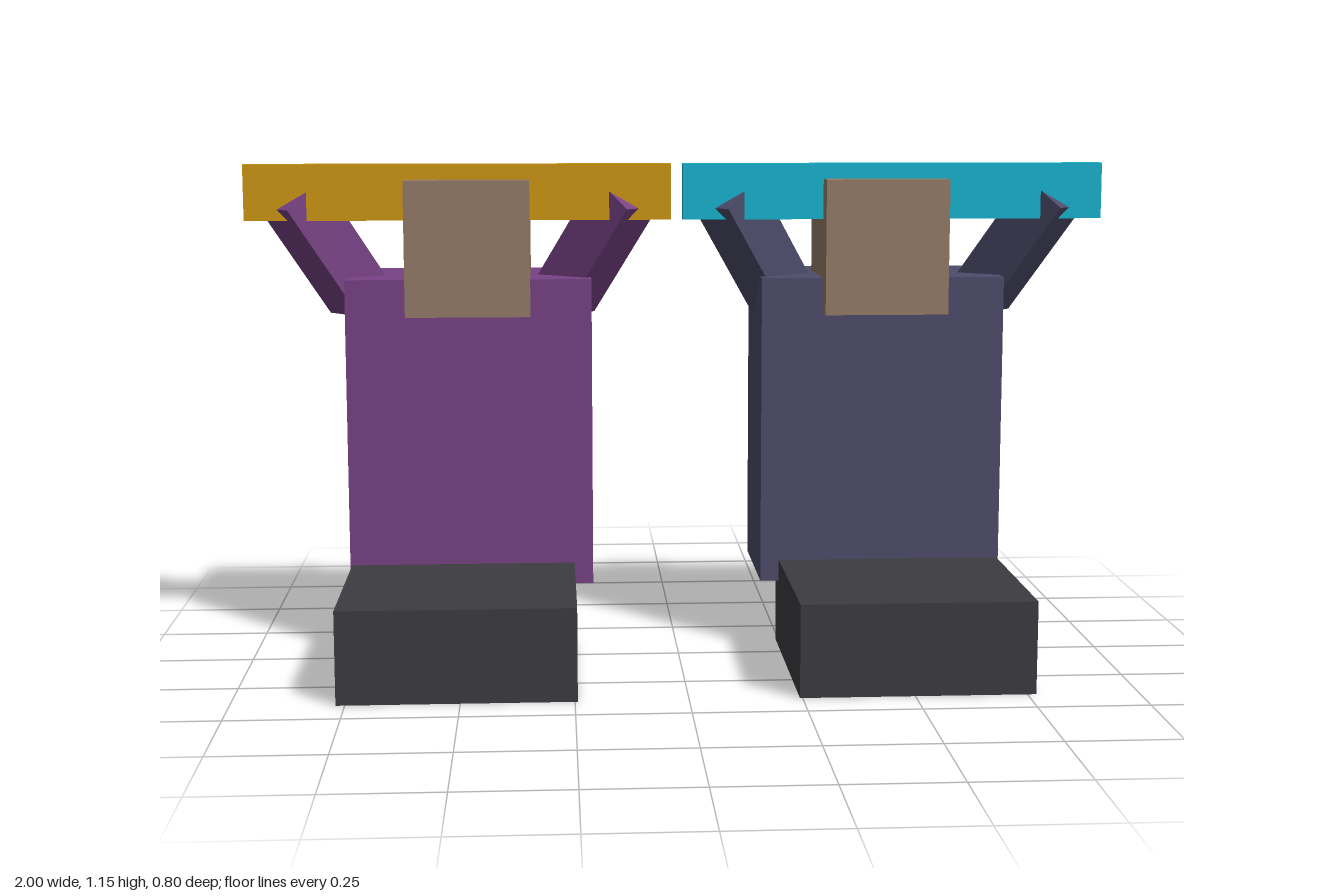
import * as THREE from 'three';

const mat = (name, color) => {
  const m = new THREE.MeshStandardMaterial({ color });
  m.name = name;
  return m;
};

// Box from its extents
function box(name, material, [x0, x1], [y0, y1], [z0, z1]) {
  const mesh = new THREE.Mesh(new THREE.BoxGeometry(x1 - x0, y1 - y0, z1 - z0), material);
  mesh.position.set((x0 + x1) / 2, (y0 + y1) / 2, (z0 + z1) / 2);
  mesh.name = name;
  return mesh;
}

// One seated figure holding a bar; shift moves torso and head sideways
function createFigure(name, shift, clothes, bar, skin, trousers) {
  const figure = new THREE.Group();
  figure.name = name;
  const span = (half, c = 0) => [c - half, c + half];
  figure.add(
    box('legs', trousers, span(0.263), [0, 0.21], [-0.122, 0.4]),
    box('torso', clothes, span(0.287, shift), [0.16, 0.886], [-0.4, -0.058]),
    box('head', skin, span(0.144, shift), [0.804, 1.118], [-0.281, 0.005]),
    box('bar', bar, span(0.493), [1.024, 1.154], [-0.09, -0.054])
  );
  // Arms reach up, outward and forward
  for (const side of [-1, 1]) {
    const arm = new THREE.Mesh(new THREE.BoxGeometry(0.118, 0.322, 0.118), clothes);
    arm.name = side > 0 ? 'leftArm' : 'rightArm';
    arm.position.set(side * 0.317, 0.957, -0.158);
    arm.rotation.set(THREE.MathUtils.degToRad(37), side * THREE.MathUtils.degToRad(50), 0, 'YXZ');
    figure.add(arm);
  }
  return figure;
}

export function createModel() {
  const skin = mat('skin brown', 0x957c68);
  const trousers = mat('charcoal', 0x3c3b40);
  const model = new THREE.Group();
  model.name = 'seatedPair';

  const right = createFigure('rightFigure', 0.02, mat('purple', 0x784285), mat('gold', 0xd0970d), skin, trousers);
  right.position.x = -0.507;
  const left = createFigure('leftFigure', -0.02, mat('slate blue', 0x4d4c6b), mat('cyan', 0x0bb4d2), skin, trousers);
  left.position.x = 0.507;
  model.add(right, left);
  return model;
}
